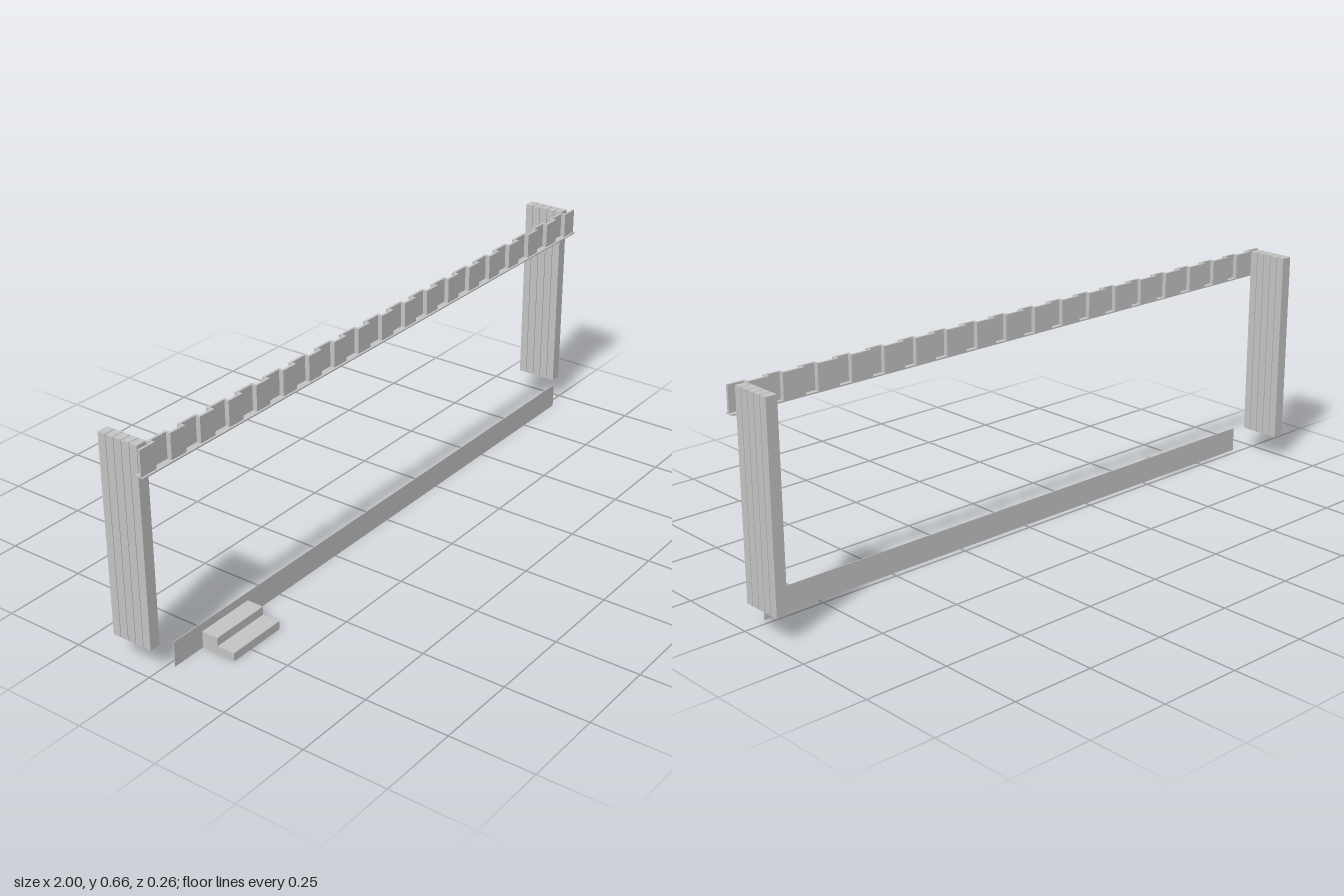
import * as THREE from 'three';

// Square-ribbed sheet of constant thickness: length along x, ribs along z, height along y
function ribbedSheet(length, bands, thickness, offset, height) {
  const front = [], back = [];
  const pitch = length / bands;
  for (let i = 0; i < bands; i++) {
    const raised = i % 2 === 0;
    const level = raised ? offset : 0;
    const inset = raised ? thickness : -thickness;
    const start = i * pitch, end = start + pitch;
    front.push([start, level + thickness], [end, level + thickness]);
    back.push([i === 0 ? 0 : start + inset, level], [i === bands - 1 ? length : end - inset, level]);
  }
  const outline = [...front, ...back.reverse()].map(([u, v]) => new THREE.Vector2(u, -v));
  const geometry = new THREE.ExtrudeGeometry(new THREE.Shape(outline), { depth: height, bevelEnabled: false });
  return geometry.rotateX(-Math.PI / 2);
}

export function createModel() {
  const model = new THREE.Group();
  const grey = new THREE.MeshStandardMaterial({ color: 0xc4c4c4 });
  grey.name = 'lightGrey';

  function add(name, geometry, x, y, z) {
    const mesh = new THREE.Mesh(geometry, grey);
    mesh.name = name;
    mesh.position.set(x, y, z);
    model.add(mesh);
  }
  // Box given by its lower and upper corners
  function block(name, [x0, y0, z0], [x1, y1, z1]) {
    add(name, new THREE.BoxGeometry(x1 - x0, y1 - y0, z1 - z0),
      (x0 + x1) / 2, (y0 + y1) / 2, (z0 + z1) / 2);
  }

  // Ribbed fascia along the top, with its drip edge
  add('fascia', ribbedSheet(2, 37, 0.007, 0.014, 0.074), -1, 0.588, 0);
  block('dripEdge', [-1, 0.584, 0], [1, 0.588, 0.027]);

  // End walls of five upright slats with narrow gaps
  const slat = 0.024, gap = 0.002;
  for (let i = 0; i < 5; i++) {
    const z = -i * (slat + gap);
    block('leftWallSlat', [0.954, 0.075, z - slat], [0.988, 0.662, z]);
    block('rightWallSlat', [-0.988, 0.075, z - slat], [-0.954, 0.662, z]);
  }

  // Thin skirting board at ground level
  block('skirting', [-0.925, 0, 0.019], [0.925, 0.075, 0.021]);

  // Two entrance steps as one stepped profile
  const profile = new THREE.Shape([
    [0.021, 0], [0.128, 0], [0.128, 0.025], [0.073, 0.025], [0.073, 0.05], [0.021, 0.05],
  ].map(([z, y]) => new THREE.Vector2(-z, y)));
  const steps = new THREE.ExtrudeGeometry(profile, { depth: 0.184, bevelEnabled: false });
  steps.rotateY(Math.PI / 2);
  add('steps', steps, -0.817, 0, 0);

  return model;
}
